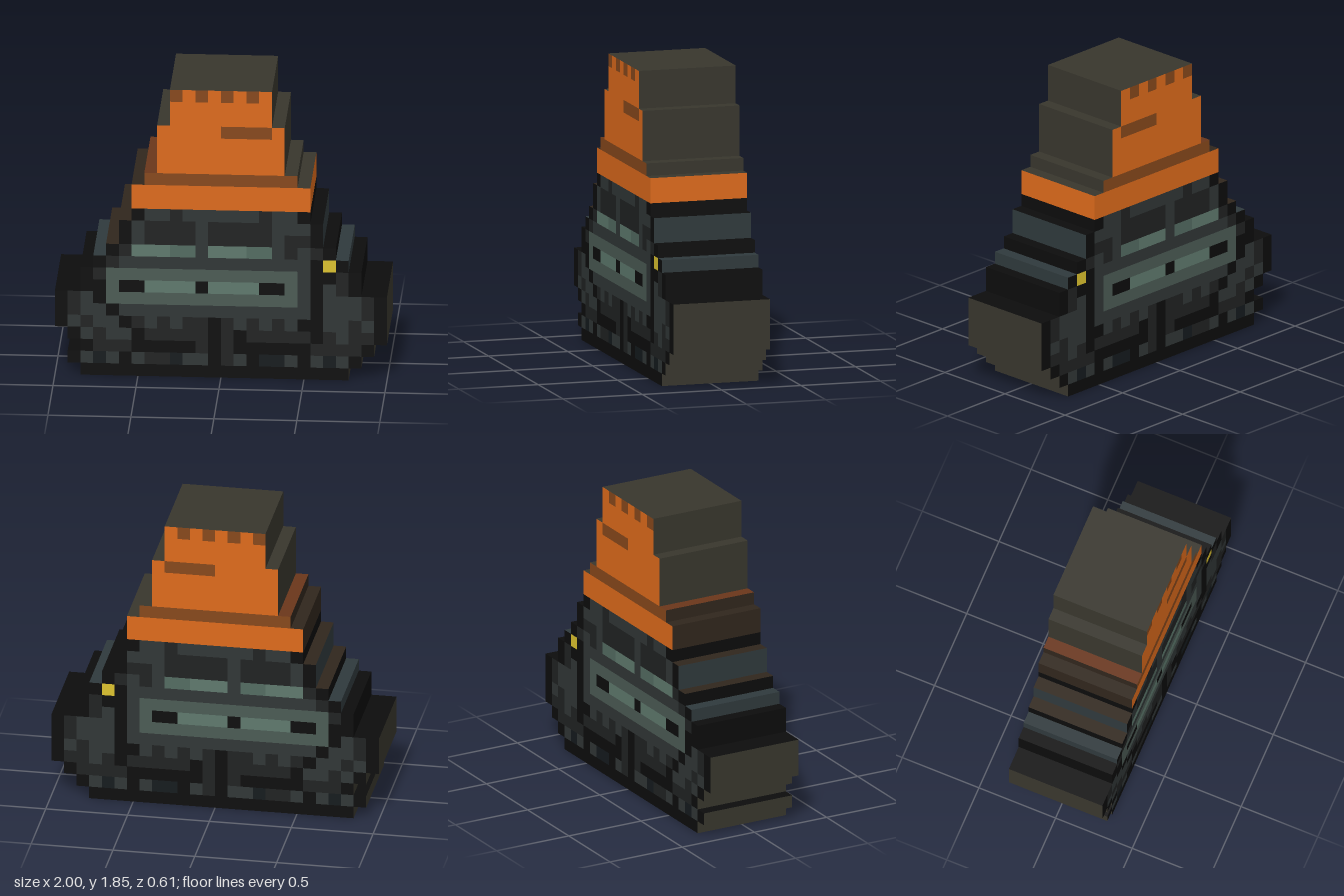
import * as THREE from 'three';
import { mergeGeometries } from 'three/addons/utils/BufferGeometryUtils.js';

const P = 2 / 26;      // size of one block
const DEPTH = 0.305;   // half thickness

// letter: [part name, colour]
const PALETTE = {
  O: ['hat', 0xdd6a1b], B: ['hatStripe', 0x87481b],
  K: ['outline', 0x0c0c0c], D: ['darkCloth', 0x202222], G: ['slateCloth', 0x303636],
  N: ['navyCloth', 0x141a1d], T: ['visorFrame', 0x4b5b54], M: ['visorShade', 0x536b61],
  L: ['visorGlass', 0x5e796d], Y: ['badge', 0xdcc22e],
  o: ['sideWall', 0x38362d], s: ['slateWall', 0x2f393c],
  w: ['brownWall', 0x30261c], r: ['rustLedge', 0x6a361a],
};

// Rows from top to bottom: first column, then blocks
const ROWS = [
  [9, 'BOBOBOBO'], [9, 'OOOOOOOO'], [9, 'OOOOOOOO'],
  [8, 'OOOOOBBBBO'], [8, 'OOOOOOOOOO'], [8, 'OOOOOOOOOO'], [8, 'OOOOOOOOOO'],
  [7, 'BBBBBBBBBBBB'], [6, 'OOOOOOOOOOOOOO'], [6, 'OOOOOOOOOOOOOO'],
  [6, 'KGGDGGGGGGDGGK'],
  [5, 'KGDDDDGDDDDDGGGK'],
  [5, 'KGDDDDGDDDDDGDDK'],
  [4, 'KDLLLMMGLLLMMGDGDK'],
  [3, 'KDGGGGGGGGGGGGGGGKYK'],
  [2, 'KDTTTTTTTTTTTTTTTGKKDK'],
  [2, 'KKTKKLLLLKLLLLKKTGKGDK'],
  [0, 'KDGKTTTTTTTTTTTTTTTGKGGGDK'],
  [0, 'KDGGKGGGGGGGGGGGGGGGKGGGDK'],
  [0, 'KGDGGKDGDGDDKDGDGDGKKGGDGK'],
  [1, 'KGDGGKDDDDDKDKDDDDDKDGDDK'],
  [2, 'KDDDKKKKKDKDKKKKKKDDDDK'],
  [1, 'KGNGKGDDNGGKDGKNNGKGNGK'],
  [2, 'KKKKKKKKKKKKKKKKKKKKK'],
];
// Colours of the side walls per row and of the upward ledges per column
const LEFT_WALL = 'ooooooooOOKssKsKKooooooo';
const RIGHT_WALL = 'ooooooowwwKssKsKKooooooo';
const LEDGE = 'KKKswwwrooooooooooooKKsKKK';

export function createModel() {
  const model = new THREE.Group();
  const parts = {};
  const X = c => -1 + c * P;
  const Y = r => (ROWS.length - r) * P;
  const filled = (r, c) => !!ROWS[r] && c >= ROWS[r][0] && c < ROWS[r][0] + ROWS[r][1].length;

  // One rectangular face, turned and placed
  const face = (code, w, h, rx, ry, x, y, z) => {
    const g = new THREE.PlaneGeometry(w, h).rotateX(rx).rotateY(ry).translate(x, y, z);
    (parts[code] ??= []).push(g);
  };

  ROWS.forEach(([start, blocks], r) => {
    const y = Y(r + 0.5), end = start + blocks.length;

    // Matching front and back faces, one strip per run of equal blocks
    for (let i = 0, j; i < blocks.length; i = j) {
      for (j = i + 1; blocks[j] === blocks[i];) j++;
      const x = X(start + (i + j) / 2), w = (j - i) * P;
      face(blocks[i], w, P, 0, 0, x, y, DEPTH);
      face(blocks[i], w, P, 0, Math.PI, x, y, -DEPTH);
    }

    // Side walls
    face(LEFT_WALL[r], 2 * DEPTH, P, 0, Math.PI / 2, X(end), y, 0);
    face(RIGHT_WALL[r], 2 * DEPTH, P, 0, -Math.PI / 2, X(start), y, 0);

    // Ledges and undersides where a block has no neighbour
    for (let c = start; c < end; c++) {
      const x = X(c + 0.5);
      if (!filled(r - 1, c)) face(LEDGE[c], P, 2 * DEPTH, -Math.PI / 2, 0, x, Y(r), 0);
      if (!filled(r + 1, c)) face('o', P, 2 * DEPTH, Math.PI / 2, 0, x, Y(r + 1), 0);
    }
  });

  // One mesh per coloured part
  for (const [code, faces] of Object.entries(parts)) {
    const [name, color] = PALETTE[code];
    const mesh = new THREE.Mesh(mergeGeometries(faces), new THREE.MeshStandardMaterial({ color }));
    mesh.name = name;
    model.add(mesh);
  }
  return model;
}
